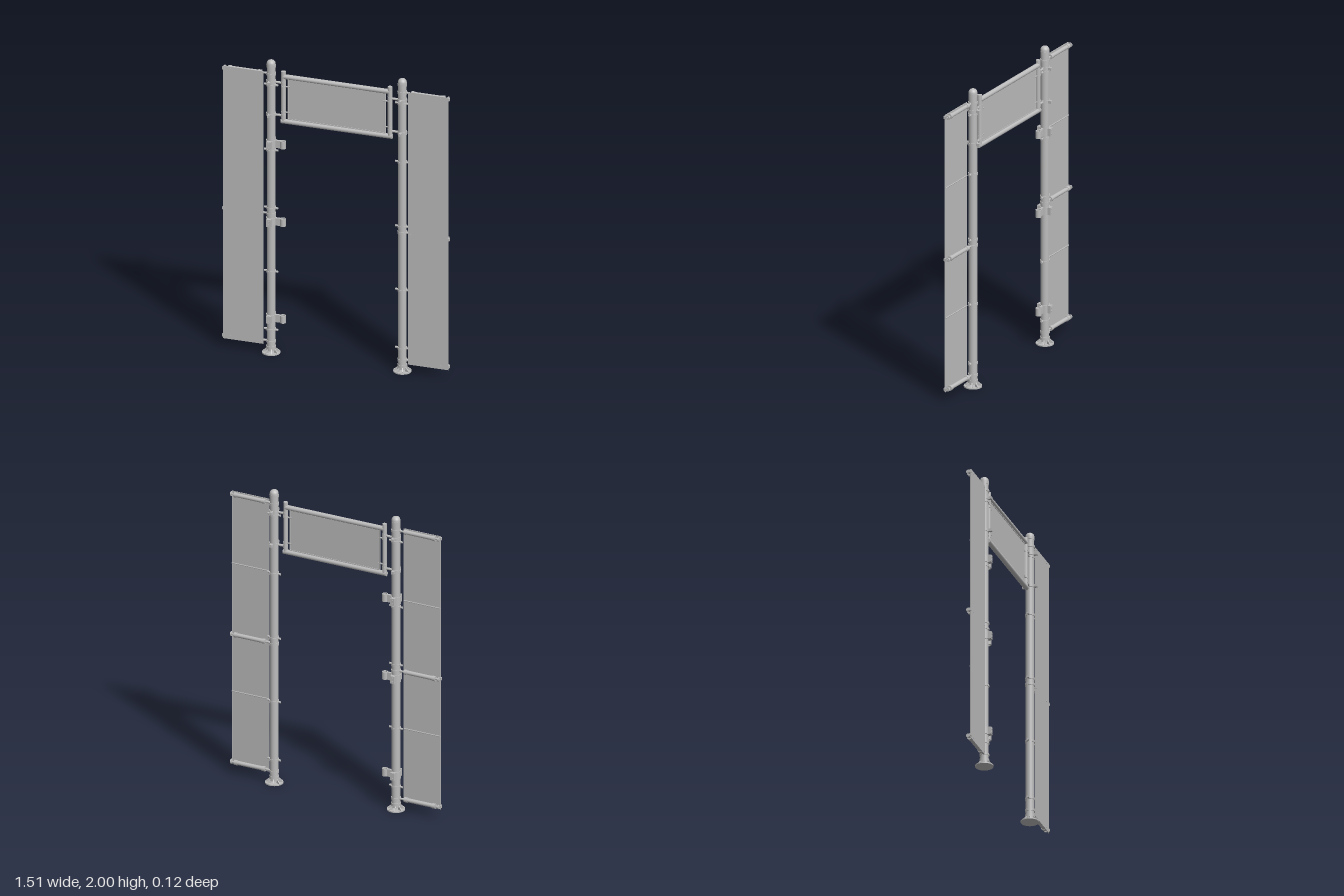
import * as THREE from 'three';

const steel = new THREE.MeshStandardMaterial({ color: 0xbcbcbc });
steel.name = 'grey steel';
const PX = 0.437; // pole offset from the centre

function add(parent, name, geo, x = 0, y = 0, z = 0) {
  const m = new THREE.Mesh(geo, steel);
  m.name = name;
  m.position.set(x, y, z);
  parent.add(m);
  return m;
}
const box = (p, n, w, h, d, x, y, z) => add(p, n, new THREE.BoxGeometry(w, h, d), x, y, z);
// round bar along the chosen axis
function rod(p, n, axis, r, len, x, y, z, seg = 16) {
  const g = new THREE.CylinderGeometry(r, r, len, seg);
  if (axis === 'x') g.rotateZ(Math.PI / 2);
  if (axis === 'z') g.rotateX(Math.PI / 2);
  return add(p, n, g, x, y, z);
}

// pole with flared foot, collars and domed cap
function pole(sign) {
  const g = new THREE.Group();
  g.name = sign > 0 ? 'leftPole' : 'rightPole';
  g.position.x = sign * PX;
  rod(g, 'tube', 'y', 0.027, 1.94, 0, 0.99, 0, 32);
  rod(g, 'footPlate', 'y', 0.058, 0.008, 0, 0.004, 0, 32);
  rod(g, 'footCollar', 'y', 0.031, 0.03, 0, 0.035, 0, 32);
  rod(g, 'capCollar', 'y', 0.029, 0.018, 0, 1.958, 0, 32);
  const dome = [[0.028, 0], [0.028, 0.012], [0.025, 0.022], [0.018, 0.03], [0.009, 0.034], [0, 0.035]]
    .map(([x, y]) => new THREE.Vector2(x, y));
  add(g, 'domeCap', new THREE.LatheGeometry(dome, 32), 0, 1.965, 0);
  for (let i = 0; i < 8; i++) {
    const a = (i + 0.5) * Math.PI / 4;
    const s = new THREE.Shape();
    s.moveTo(0.025, 0.008);
    s.lineTo(0.055, 0.008);
    s.lineTo(0.052, 0.014);
    s.lineTo(0.03, 0.034);
    s.lineTo(0.025, 0.034);
    const geo = new THREE.ExtrudeGeometry(s, { depth: 0.006, bevelEnabled: false });
    geo.translate(0, 0, -0.003);
    add(g, 'footGusset', geo).rotation.y = a;
  }
  // clamp bands with side bolts
  const mid = sign > 0 ? 1.43 : 1.385;
  for (const y of [0.16, 0.557, 0.99, mid, 1.83]) {
    rod(g, 'clampBand', 'y', 0.031, 0.014, 0, y, 0, 32);
    rod(g, 'clampBolt', 'x', 0.007, 0.092, 0, y, 0);
  }
  // clamps carrying the overhead frame
  for (const y of [1.63, 1.852]) {
    rod(g, 'frameClamp', 'y', 0.031, 0.02, 0, y, 0, 32);
    box(g, 'frameClampLug', 0.018, 0.018, 0.1, 0, y, 0);
    rod(g, 'frameClampArm', 'x', 0.008, 0.085, -sign * 0.04, y, 0);
    rod(g, 'postSleeve', 'y', 0.0165, 0.022, -sign * 0.082, y, 0);
  }
  return g;
}

// side banner: sheet on the front, tubes and stays behind it
function banner(sign) {
  const g = new THREE.Group();
  g.name = sign > 0 ? 'leftBanner' : 'rightBanner';
  box(g, 'sheet', 0.267, 1.86, 0.004, sign * 0.6165, 0.99, 0.018);
  for (const y of [0.08, 0.95, 1.905]) {
    rod(g, 'poleBand', 'y', 0.031, 0.016, sign * PX, y, 0, 32);
    rod(g, 'tubeSpigot', 'x', 0.007, 0.1, sign * 0.462, y, 0);
    rod(g, 'crossTube', 'x', 0.0135, 0.21, sign * 0.61, y, 0);
    for (const x of [0.51, 0.71]) rod(g, 'tubeCollar', 'x', 0.0165, 0.022, sign * x, y, 0);
    rod(g, 'endRod', 'x', 0.006, 0.04, sign * 0.732, y, 0);
    rod(g, 'endKnob', 'x', 0.014, 0.008, sign * 0.744, y, 0);
    for (const x of [0.495, 0.7]) rod(g, 'sheetBolt', 'z', 0.004, 0.014, sign * x, y, 0.016, 8);
    box(g, 'endClip', 0.014, 0.018, 0.018, sign * 0.749, y, 0.014);
  }
  for (const y of [0.557, 1.43]) {
    rod(g, 'backStay', 'x', 0.004, 0.262, sign * 0.6165, y, 0.013, 8);
  }
  rod(g, 'outerEdge', 'y', 0.003, 1.86, sign * 0.747, 0.99, 0.016, 8);
  return g;
}

// overhead sign: tubular frame with an inset board
function overheadSign() {
  const g = new THREE.Group();
  g.name = 'overheadSign';
  rod(g, 'topRail', 'x', 0.016, 0.71, 0, 1.897, 0, 20);
  rod(g, 'bottomRail', 'x', 0.016, 0.74, 0, 1.593, 0, 20);
  box(g, 'board', 0.644, 0.268, 0.005, 0, 1.745, 0);
  box(g, 'boardTopLip', 0.644, 0.006, 0.012, 0, 1.879, 0);
  box(g, 'boardBottomLip', 0.644, 0.006, 0.012, 0, 1.612, 0);
  for (const s of [-1, 1]) {
    rod(g, 'sidePost', 'y', 0.0145, 0.34, s * 0.355, 1.762, 0, 20);
    rod(g, 'boardEdgeRod', 'y', 0.005, 0.27, s * 0.322, 1.745, 0, 10);
    for (const y of [1.655, 1.83]) {
      rod(g, 'boardTie', 'x', 0.005, 0.045, s * 0.334, y, 0, 10);
      rod(g, 'tieBand', 'y', 0.0165, 0.012, s * 0.355, y, 0);
    }
  }
  return g;
}

// gate hinge bracket: pole clamp with an open sleeve
function hinge(y) {
  const g = new THREE.Group();
  g.name = 'hingeBracket';
  g.position.set(-PX, y, 0);
  rod(g, 'hingeClamp', 'y', 0.032, 0.05, 0, 0, 0, 32);
  for (const s of [-1, 1]) {
    box(g, 'hingeLug', 0.03, 0.05, 0.024, 0, 0, s * 0.038);
    for (const dy of [-0.012, 0.012]) rod(g, 'lugBolt', 'z', 0.006, 0.005, 0, dy, s * 0.051, 8);
  }
  box(g, 'hingeArm', 0.04, 0.05, 0.016, 0.045, 0, 0);
  const s = new THREE.Shape();
  s.absarc(0, 0, 0.019, 0, Math.PI * 2);
  const hole = new THREE.Path();
  hole.absarc(0, 0, 0.013, 0, Math.PI * 2, true);
  s.holes.push(hole);
  const geo = new THREE.ExtrudeGeometry(s, { depth: 0.05, bevelEnabled: false, curveSegments: 16 });
  geo.rotateX(-Math.PI / 2);
  add(g, 'hingeSleeve', geo, 0.078, -0.025, 0);
  return g;
}

export function createModel() {
  const model = new THREE.Group();
  model.name = 'gateway';
  for (const s of [-1, 1]) model.add(pole(s), banner(s));
  model.add(overheadSign());
  for (const y of [0.24, 0.9, 1.43]) model.add(hinge(y));
  return model;
}
